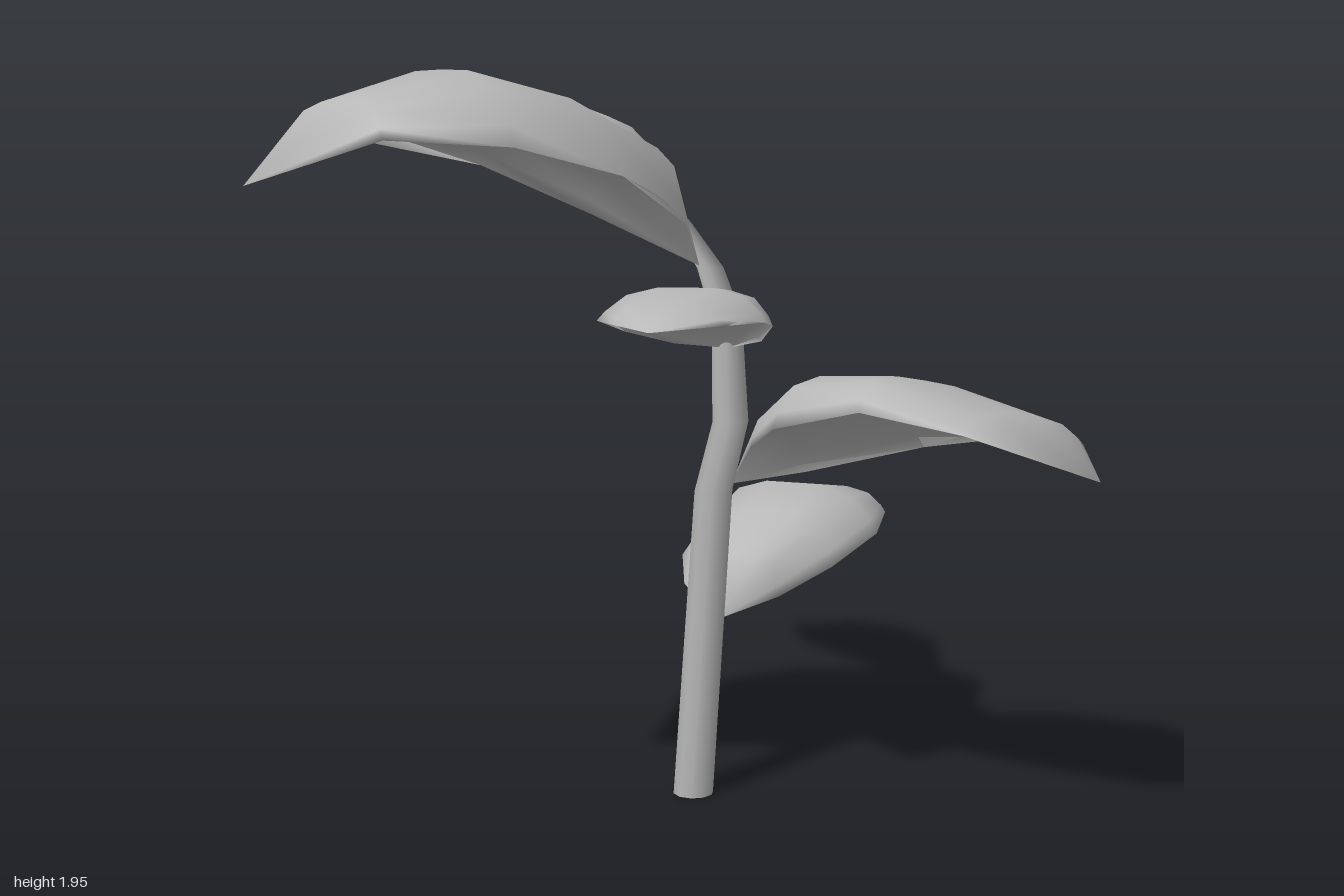
import * as THREE from 'three';
import { mergeVertices } from 'three/addons/utils/BufferGeometryUtils.js';

const grey = new THREE.MeshStandardMaterial({ color: 0xb8b8b8, side: THREE.DoubleSide });
grey.name = 'plain grey';

// Positions across a leaf, from one edge (-1) over the midrib (0) to the other (1)
const ACROSS = [-1, -0.92, -0.7, -0.35, 0, 0.35, 0.7, 0.92, 1];
const UNDER = ACROSS.slice(1, -1).reverse();

// Leaf: closed rings, domed above and hollow below, lofted from base to tip
function leafGeometry({ base, sections, tip }) {
  const rows = [[base, base, base], ...sections, [tip, tip, tip]];
  const pos = [], index = [], n = ACROSS.length + UNDER.length;
  for (const row of rows) {
    const [l, m, r] = row.map((p) => new THREE.Vector3(...p));
    const rise = m.clone().sub(l.clone().add(r).multiplyScalar(0.5));
    const addPoint = (t, height) => {
      const p = l.clone().lerp(r, (t + 1) / 2).addScaledVector(rise, height);
      pos.push(p.x, p.y, p.z);
    };
    ACROSS.forEach((t) => addPoint(t, 1 - t ** 4));
    UNDER.forEach((t) => addPoint(t, 0.75 * (1 - Math.abs(t) ** 3)));
  }
  for (let i = 0; i < rows.length - 1; i++) {
    for (let j = 0; j < n; j++) {
      const a = i * n + j, b = i * n + ((j + 1) % n);
      index.push(a, a + n, b, a + n, b + n, b);
    }
  }
  let geo = new THREE.BufferGeometry();
  geo.setAttribute('position', new THREE.Float32BufferAttribute(pos, 3));
  geo.setIndex(index);
  geo = mergeVertices(geo, 1e-4);
  geo.computeVertexNormals();
  return geo;
}

// Stem: a cylinder whose rings follow a bent, tapering path of [x, y, z, radius]
const STEM = [
  [-0.03, 0, 0.03, 0.055],
  [0.02, 0.83, -0.02, 0.052],
  [0.057, 1.0, -0.115, 0.05],
  [0.045, 1.28, -0.14, 0.042],
  [0.005, 1.42, -0.085, 0.036],
  [-0.07, 1.55, -0.02, 0.027],
  [-0.085, 1.58, -0.005, 0.01],
];

function stemGeometry() {
  const last = STEM.length - 1;
  const geo = new THREE.CylinderGeometry(1, 1, last, 10, last);
  const p = geo.attributes.position;
  for (let i = 0; i < p.count; i++) {
    const [x, y, z, r] = STEM[Math.round(p.getY(i) + last / 2)];
    p.setXYZ(i, x + p.getX(i) * r, y, z + p.getZ(i) * r);
  }
  return geo;
}

// Each section is [edge, rib, edge]
const LEAVES = {
  topFrontRightLeaf: {
    base: [-0.02, 1.43, -0.04],
    sections: [
      [[-0.32, 1.56, -0.1], [-0.16, 1.75, 0.08], [-0.03, 1.56, 0.2]],
      [[-0.6, 1.69, -0.04], [-0.38, 1.88, 0.24], [-0.15, 1.7, 0.5]],
      [[-0.86, 1.76, 0.15], [-0.6, 1.95, 0.44], [-0.37, 1.78, 0.74]],
      [[-1, 1.78, 0.4], [-0.81, 1.88, 0.62], [-0.65, 1.8, 0.85]],
    ],
    tip: [-1, 1.69, 0.77],
  },
  topBackLeaf: {
    base: [-0.01, 1.43, -0.07],
    sections: [
      [[-0.1, 1.47, -0.28], [-0.17, 1.67, -0.17], [-0.29, 1.62, -0.08]],
      [[-0.13, 1.54, -0.46], [-0.3, 1.81, -0.31], [-0.48, 1.71, -0.18]],
      [[-0.29, 1.6, -0.62], [-0.43, 1.81, -0.45], [-0.6, 1.7, -0.33]],
      [[-0.45, 1.65, -0.67], [-0.55, 1.74, -0.55], [-0.64, 1.69, -0.47]],
    ],
    tip: [-0.66, 1.66, -0.58],
  },
  smallFrontLeaf: {
    base: [0.05, 1.2, -0.12],
    sections: [
      [[-0.08, 1.23, 0.02], [0.04, 1.3, 0.0], [0.15, 1.24, 0.03]],
      [[-0.19, 1.28, 0.17], [0.01, 1.385, 0.14], [0.19, 1.3, 0.18]],
      [[-0.24, 1.33, 0.34], [-0.02, 1.41, 0.29], [0.18, 1.33, 0.34]],
      [[-0.18, 1.34, 0.49], [-0.06, 1.385, 0.46], [0.1, 1.34, 0.48]],
    ],
    tip: [-0.08, 1.335, 0.595],
  },
  middleLeftLeaf: {
    base: [0.06, 0.83, -0.11],
    sections: [
      [[0.13, 0.97, 0.12], [0.19, 1.03, 0.0], [0.26, 0.86, -0.14]],
      [[0.2, 1.06, 0.33], [0.38, 1.16, 0.13], [0.58, 0.94, -0.11]],
      [[0.42, 1.14, 0.53], [0.58, 1.18, 0.27], [0.83, 0.99, -0.01]],
      [[0.67, 1.1, 0.6], [0.81, 1.12, 0.4], [0.98, 1.01, 0.2]],
    ],
    tip: [1, 0.98, 0.53],
  },
  lowerBackLeaf: {
    base: [0.03, 0.475, -0.01],
    sections: [
      [[0.19, 0.51, -0.14], [0.08, 0.62, -0.18], [-0.08, 0.52, -0.22]],
      [[0.33, 0.57, -0.25], [0.15, 0.71, -0.35], [-0.1, 0.57, -0.36]],
      [[0.45, 0.63, -0.42], [0.21, 0.755, -0.51], [-0.03, 0.62, -0.63]],
      [[0.47, 0.65, -0.62], [0.29, 0.71, -0.71], [0.1, 0.63, -0.78]],
    ],
    tip: [0.36, 0.59, -0.85],
  },
};

export function createModel() {
  const plant = new THREE.Group();
  plant.name = 'plant';
  const add = (name, geo) => {
    const mesh = new THREE.Mesh(geo, grey);
    mesh.name = name;
    plant.add(mesh);
  };
  add('stem', stemGeometry());
  for (const [name, leaf] of Object.entries(LEAVES)) add(name, leafGeometry(leaf));
  return plant;
}
